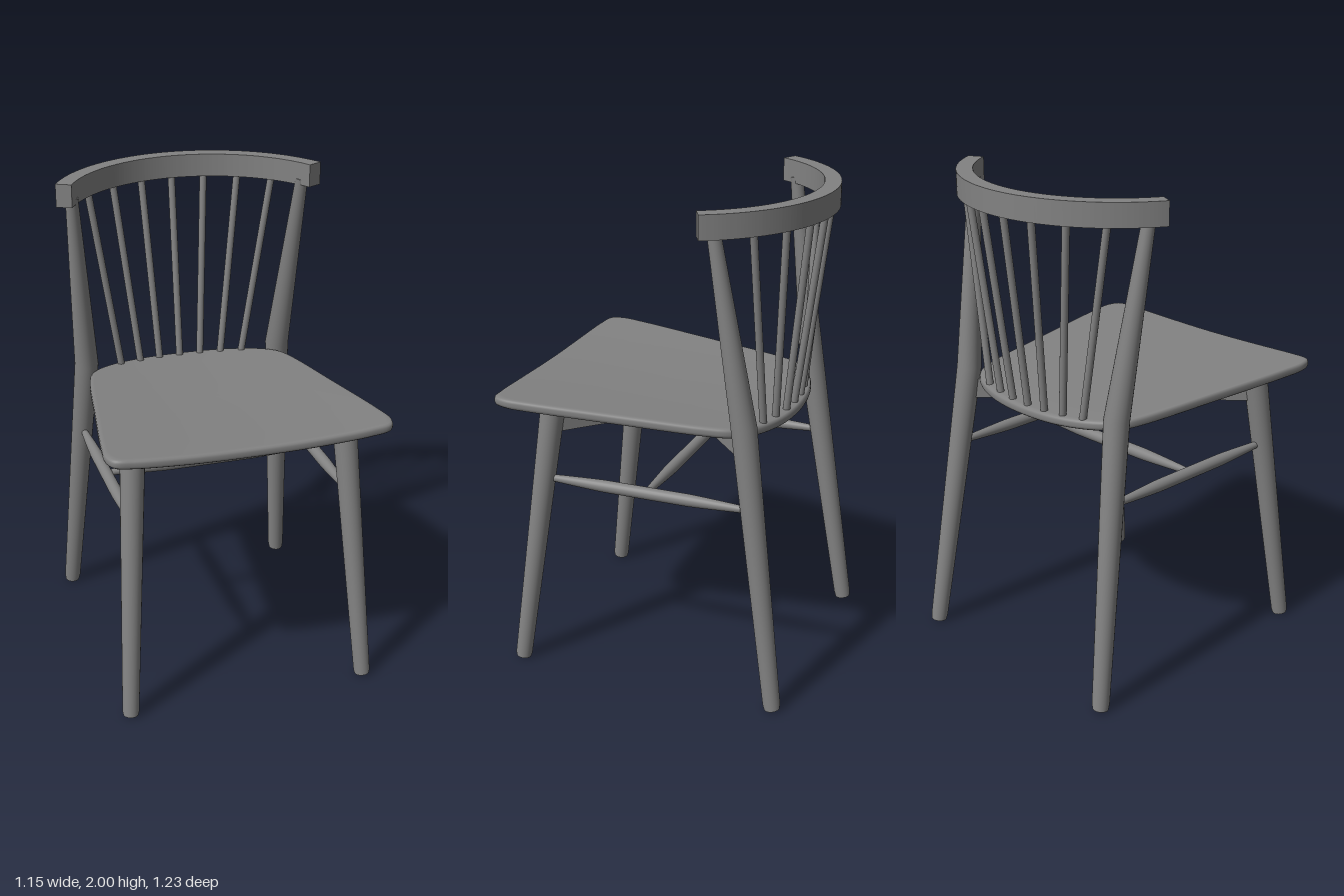
import * as THREE from 'three';

const material = new THREE.MeshStandardMaterial({ color: 0x828282 });
const V = (x, y, z) => new THREE.Vector3(x, y, z);

function addMesh(group, name, geometry) {
  const mesh = new THREE.Mesh(geometry, material);
  mesh.name = name;
  group.add(mesh);
}

// Round rod from a to b; radius(t) gives its turned profile, bend(t) an optional sideways shift in x
function rod(a, b, radius, rows = 1, bend = null) {
  const axis = b.clone().sub(a);
  const geo = new THREE.CylinderGeometry(1, 1, 1, 24, rows);
  const turn = new THREE.Quaternion().setFromUnitVectors(V(0, 1, 0), axis.clone().normalize());
  const pos = geo.attributes.position, v = V(0, 0, 0);
  for (let i = 0; i < pos.count; i++) {
    v.fromBufferAttribute(pos, i);
    const t = v.y + 0.5, r = radius(t);
    v.set(v.x * r, 0, v.z * r).applyQuaternion(turn).addScaledVector(axis, t).add(a);
    if (bend) v.x += bend(t);
    pos.setXYZ(i, v.x, v.y, v.z);
  }
  const nor = geo.attributes.normal;
  for (let i = 0; i < nor.count; i++) {
    v.fromBufferAttribute(nor, i).applyQuaternion(turn);
    nor.setXYZ(i, v.x, v.y, v.z);
  }
  return geo;
}

// Saddled seat: rings of one outline, scaled and lowered around a rounded rim
function seatGeometry() {
  const half = [[0.3, 0.611], [0.48, 0.603], [0.553, 0.588], [0.575, 0.535], [0.568, 0.44], [0.51, 0.07],
    [0.45, -0.28], [0.42, -0.36], [0.35, -0.425], [0.2, -0.483]];
  const loop = [[0, 0.612], ...half, [0, -0.503], ...half.map(([x, z]) => [-x, z]).reverse()];
  const n = 120, cz = 0.05;
  const outline = new THREE.CatmullRomCurve3(loop.map(([x, z]) => V(x, 0, z)), true).getPoints(n).slice(0, n);
  const rings = [[0, 0], [0.25, 0], [0.5, 0], [0.75, 0], [0.96, 0], [0.985, -0.001], [0.996, -0.006], [1, -0.014],
    [1, -0.026], [0.996, -0.034], [0.985, -0.039], [0.96, -0.04], [0.75, -0.04], [0.5, -0.04], [0.25, -0.04], [0, -0.04]];
  const pos = [], idx = [];
  rings.forEach(([s, drop], r) => outline.forEach((p, i) => {
    const x = p.x * s, z = cz + (p.z - cz) * s;
    pos.push(x, 1.167 + 0.048 * z - 0.02 * (1 - (x / 0.575) ** 2) + drop, z);
    if (r === rings.length - 1) return;
    const a = r * n + i, b = r * n + (i + 1) % n;
    idx.push(a, a + n, b, b, a + n, b + n);
  }));
  const geo = new THREE.BufferGeometry();
  geo.setAttribute('position', new THREE.Float32BufferAttribute(pos, 3));
  geo.setIndex(idx);
  geo.computeVertexNormals();
  return geo;
}

export function createModel() {
  const chair = new THREE.Group();
  chair.name = 'chair';

  addMesh(chair, 'seat', seatGeometry());

  // Curved top rail: an arc of a flat ring, standing on the uprights
  const R = 0.631, railZ = 0.016, sweep = 1.092;
  const arc = new THREE.Shape();
  arc.absarc(0, 0, R, Math.PI / 2 - sweep, Math.PI / 2 + sweep, false);
  arc.absarc(0, 0, R - 0.066, Math.PI / 2 + sweep, Math.PI / 2 - sweep, true);
  const railGeo = new THREE.ExtrudeGeometry(arc, { depth: 0.095, bevelEnabled: false, curveSegments: 48 });
  railGeo.rotateX(-Math.PI / 2).translate(0, 1.905, railZ);
  addMesh(chair, 'topRail', railGeo);

  // Fanned back spindles
  const feet = [[0, -0.475], [0.092, -0.472], [0.182, -0.458], [0.272, -0.438]];
  const tops = [0, 0.138, 0.274, 0.4];
  for (let i = -3; i <= 3; i++) {
    const k = Math.abs(i), s = Math.sign(i), x = tops[k];
    const a = V(s * feet[k][0], 1.115, feet[k][1]);
    const b = V(s * x, 1.93, railZ - Math.sqrt(0.597 ** 2 - x * x));
    addMesh(chair, 'spindle', rod(a, b, () => 0.015));
  }

  // Spindle-shaped stretcher profile, thin at both ends
  const stretcher = t => 0.012 + 0.013 * Math.min(1, Math.sin(Math.PI * t) * 1.25);
  const foot = t => (t < 0.01 ? 0.9 : 1);

  for (const s of [-1, 1]) {
    addMesh(chair, 'frontLeg', rod(V(s * 0.505, 0.005, 0.535), V(s * 0.435, 1.145, 0.39),
      t => foot(t) * (0.034 + 0.016 * t), 80));

    // Back leg runs up into the upright: thickest and bent outward at seat level
    const knee = 0.6;
    addMesh(chair, 'backLeg', rod(V(s * 0.507, 0.005, -0.577), V(s * 0.49, 1.93, -0.306),
      t => foot(t) * (t < knee ? 0.035 + 0.016 * t / knee : 0.051 - 0.025 * (t - knee) / (1 - knee)), 80,
      t => -s * 0.064 * (t < knee ? t / knee : (1 - t) / (1 - knee))));

    addMesh(chair, 'sideStretcher',
      rod(V(s * 0.452, 0.83, 0.43), V(s * 0.452, 0.83, -0.46), stretcher, 24));

    // Diagonal rail under the seat, crossing its mirror twin
    const dx = -s * 0.85, dz = -0.8, len = Math.hypot(dx, dz);
    const side = new THREE.Shape([[0, 1.03], [len, 1.03], [len, 1.11], [0, 1.14]].map(p => new THREE.Vector2(...p)));
    const beam = new THREE.ExtrudeGeometry(side, { depth: 0.04, bevelEnabled: false });
    beam.translate(0, 0, -0.02).rotateY(Math.atan2(-dz, dx)).translate(s * 0.425, 0, 0.385);
    addMesh(chair, 'crossRail', beam);
  }

  addMesh(chair, 'middleStretcher',
    rod(V(-0.452, 0.83, -0.015), V(0.452, 0.83, -0.015), stretcher, 24));

  return chair;
}
